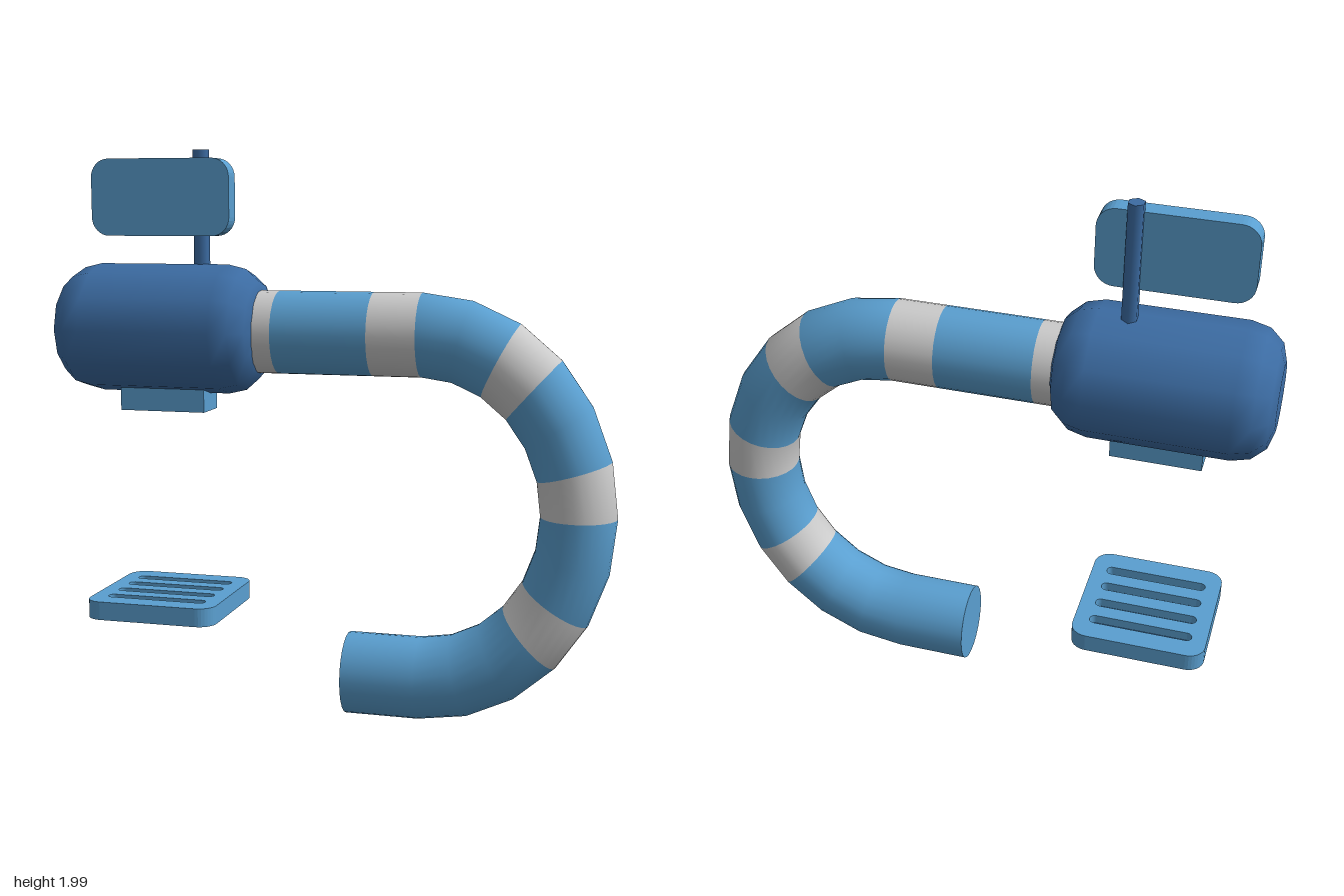
import * as THREE from 'three';

const mat = (color) => new THREE.MeshStandardMaterial({ color });
const light = mat(0x5a9fd0), dark = mat(0x3c6ca3), white = mat(0xe8e9e6);

function add(parent, name, geometry, material) {
  const mesh = new THREE.Mesh(geometry, material);
  mesh.name = name;
  parent.add(mesh);
  return mesh;
}

// Rounded rectangle centred on (0, cy); works for a Shape or a hole Path
function roundRect(path, w, h, r, cy = 0) {
  const x = w / 2 - r, y = h / 2 - r, q = Math.PI / 2;
  path.moveTo(x + r, cy - y);
  [[x, y], [-x, y], [-x, -y], [x, -y]].forEach(([cx, dy], i) =>
    path.absarc(cx, cy + dy, r, i * q, (i + 1) * q, false));
  return path;
}

const slab = (shape, depth) =>
  new THREE.ExtrudeGeometry(shape, { depth, bevelEnabled: false, curveSegments: 4 });

// Striped hook-shaped pipe: straight runs joined by a half-circle bend
function buildPipe() {
  const pipe = new THREE.Group();
  pipe.name = 'stripedPipe';
  const R = 0.607, r = 0.146, sx = 0.9, sides = 24, bendX = 0.31, midY = 0.759;

  const straight = (x0, x1, y, material) => {
    const g = new THREE.CylinderGeometry(r, r, x1 - x0, sides, 1, true);
    g.rotateZ(-Math.PI / 2).scale(1, 1, sx).translate((x0 + x1) / 2, y, 0);
    add(pipe, material === white ? 'whiteBand' : 'bluePipe', g, material);
  };
  straight(-0.32, -0.2, midY + R, white);
  straight(-0.2, 0.14, midY + R, light);
  straight(0.14, bendX, midY + R, white);
  straight(0.05, bendX, midY - R, light);

  // Bend bands: start angle, number of 15 degree steps
  [[60, 2, light], [45, 1, white], [15, 2, light], [0, 1, white],
    [-30, 2, light], [-45, 1, white], [-90, 3, light]].forEach(([start, n, material]) => {
    const g = new THREE.TorusGeometry(R, r, sides, n, n * Math.PI / 12);
    g.rotateZ(THREE.MathUtils.degToRad(start)).scale(sx, 1, sx).translate(bendX, midY, 0);
    add(pipe, material === white ? 'whiteBendBand' : 'blueBend', g, material);
  });

  // Flat end cap
  const cap = new THREE.CircleGeometry(r, sides);
  cap.rotateY(-Math.PI / 2).scale(1, 1, sx).translate(0.05, midY - R, 0);
  add(pipe, 'pipeEnd', cap, light);
  return pipe;
}

// Barrel head with rounded rims, lying along x
function buildHead() {
  const half = 0.37, rad = 0.229, rim = 0.115, rimX = 0.13, pts = [new THREE.Vector2(0, -half)];
  for (const side of [-1, 1]) {
    for (let i = 0; i <= 3; i++) {
      const a = (side < 0 ? i : 3 - i) * Math.PI / 6;
      pts.push(new THREE.Vector2(rad - rim + rim * Math.sin(a),
        side * (half - rimX + rimX * Math.cos(a))));
    }
  }
  pts.push(new THREE.Vector2(0, half));
  const g = new THREE.LatheGeometry(pts, 12);
  return g.rotateZ(-Math.PI / 2).scale(1, 1, 1.03).translate(-0.63, 1.372, 0);
}

// Drain grate: solid base, dark floor and a slotted top
function buildGrate() {
  const grate = new THREE.Group();
  grate.name = 'drainGrate';
  const outline = () => roundRect(new THREE.Shape(), 0.48, 0.48, 0.06);
  add(grate, 'grateBase', slab(outline(), 0.03).rotateX(-Math.PI / 2), light);
  const top = outline();
  for (let i = 0; i < 4; i++) {
    top.holes.push(roundRect(new THREE.Path(), 0.37, 0.04, 0.019, (i - 1.5) * 0.095));
  }
  add(grate, 'grateTop', slab(top, 0.036).rotateX(-Math.PI / 2).translate(0, 0.03, 0), light);
  const floor = new THREE.PlaneGeometry(0.4, 0.4).rotateX(-Math.PI / 2).translate(0, 0.032, 0);
  add(grate, 'grateFloor', floor, dark);
  grate.position.set(-0.625, 0.345, 0);
  return grate;
}

export function createModel() {
  const model = new THREE.Group();
  model.name = 'pipeFountain';
  model.add(buildPipe());
  add(model, 'barrelHead', buildHead(), dark);

  // Outlet under the head
  const outlet = add(model, 'outlet', new THREE.BoxGeometry(0.315, 0.14, 0.14), light);
  outlet.position.set(-0.62, 1.15, 0);

  // Sign post and board
  const post = add(model, 'signPost', new THREE.CylinderGeometry(0.029, 0.029, 0.5, 6), dark);
  post.position.set(-0.495, 1.75, -0.021);
  const board = slab(roundRect(new THREE.Shape(), 0.515, 0.27, 0.065), 0.067);
  add(model, 'signBoard', board, light).position.set(-0.628, 1.835, -0.022);

  model.add(buildGrate());
  return model;
}
